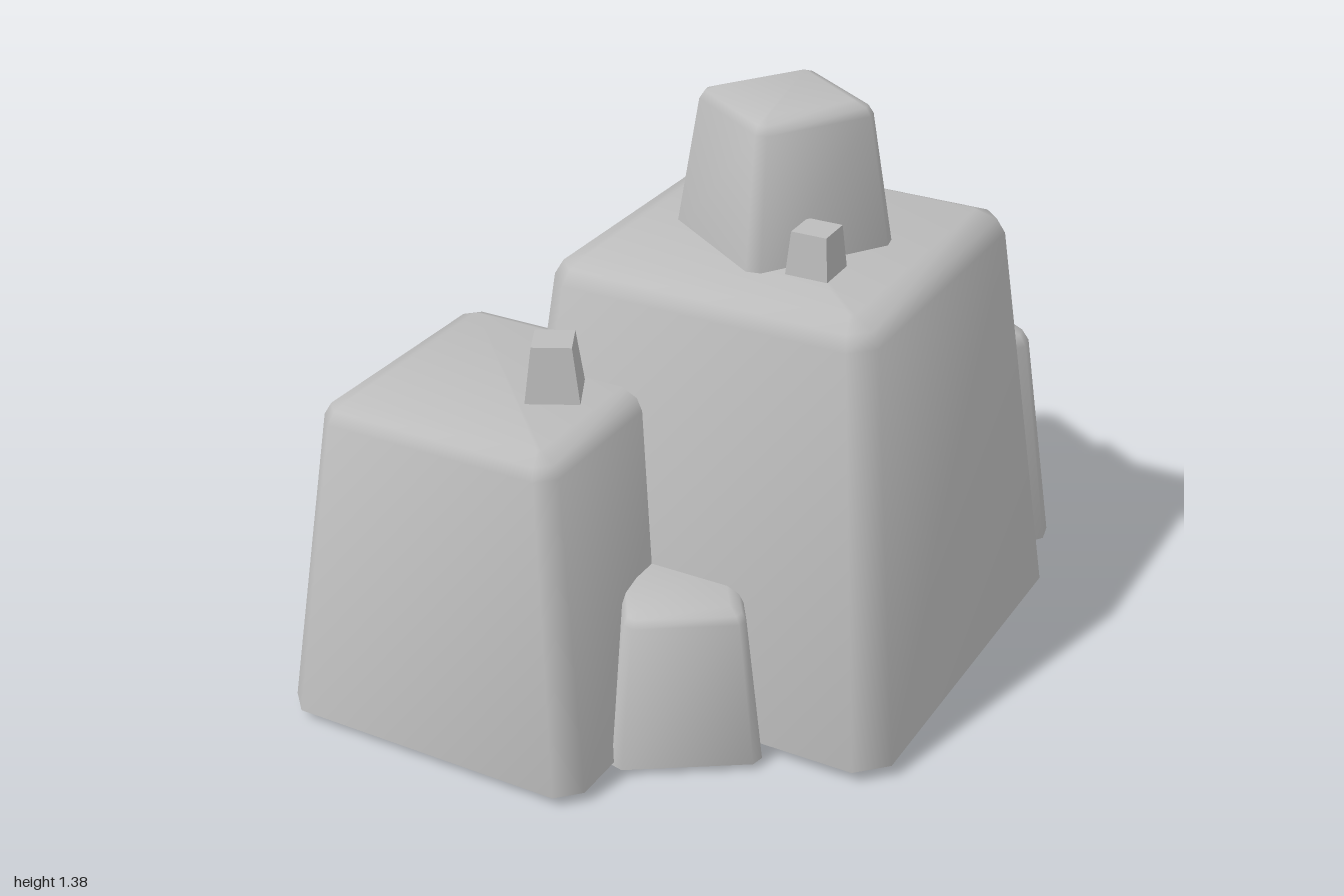
import * as THREE from 'three';
import { toCreasedNormals } from 'three/addons/utils/BufferGeometryUtils.js';

// Square outline with cut corners, as eight points
function ring(half, cut, y) {
  const k = half - cut;
  return [[half, -k], [half, k], [k, half], [-k, half], [-half, k], [-half, -k], [-k, -half], [k, -half]]
    .map(([x, z]) => [x, y, z]);
}

// Tapered boulder with softened edges, built from stacked rings
function boulderGeometry(half, topHalf, height, bevel) {
  const cut = half * 0.13, topCut = topHalf * 0.13;
  const rings = [
    ring(half - bevel * 0.9, cut * 0.15, 0),
    ring(half, cut, bevel * 0.5),
    ring(topHalf, topCut, height - bevel * 0.9),
    ring(topHalf - bevel * 0.3, topCut * 0.8, height - bevel * 0.35),
    ring(topHalf - bevel * 1.1, topCut * 0.15, height),
  ];
  const index = [], last = (rings.length - 1) * 8;
  for (let r = 0; r < rings.length - 1; r++) {
    for (let i = 0; i < 8; i++) {
      const a = r * 8 + i, b = r * 8 + (i + 1) % 8;
      index.push(a, a + 8, b, b, a + 8, b + 8);
    }
  }
  // Flat bottom and top
  for (let i = 1; i < 7; i++) index.push(0, i, i + 1, last, last + i + 1, last + i);
  const g = new THREE.BufferGeometry();
  g.setAttribute('position', new THREE.Float32BufferAttribute(rings.flat(2), 3));
  g.setIndex(index);
  return toCreasedNormals(g, Math.PI / 3);
}

// Small sharp-edged square stub
function stubGeometry(half, topHalf, height) {
  const g = new THREE.CylinderGeometry(topHalf * Math.SQRT2, half * Math.SQRT2, height, 4);
  g.rotateY(Math.PI / 4).translate(0, height / 2, 0);
  return toCreasedNormals(g, 0.3);
}

export function createModel() {
  const group = new THREE.Group();
  const stone = new THREE.MeshStandardMaterial({ color: 0xbdbdbd });
  stone.name = 'grey stone';

  function add(name, geometry, x, y, z, turn) {
    const mesh = new THREE.Mesh(geometry, stone);
    mesh.name = name;
    mesh.position.set(x, y, z);
    mesh.rotation.y = THREE.MathUtils.degToRad(turn);
    group.add(mesh);
  }

  // Boulders
  add('mainBoulder', boulderGeometry(0.515, 0.4, 1.055, 0.062), 0.18, 0, 0, 37);
  add('rightBoulder', boulderGeometry(0.395, 0.305, 0.8, 0.05), -0.49, 0, -0.04, 37);
  add('leftBoulder', boulderGeometry(0.29, 0.228, 0.615, 0.05), 0.695, 0, -0.305, 3.4);
  add('frontBoulder', boulderGeometry(0.17, 0.135, 0.395, 0.032), -0.22, 0, 0.32, -20);
  add('topBoulder', boulderGeometry(0.192, 0.149, 0.385, 0.034), 0.18, 1.0, -0.005, 3.4);

  // Stubs standing on the boulders
  add('mainStub', stubGeometry(0.053, 0.042, 0.125), 0.147, 1.03, 0.225, 38);
  add('rightStub', stubGeometry(0.064, 0.045, 0.15), -0.413, 0.78, 0.068, -26);
  add('leftStub', stubGeometry(0.056, 0.041, 0.13), 0.783, 0.59, -0.265, 35);

  return group;
}
